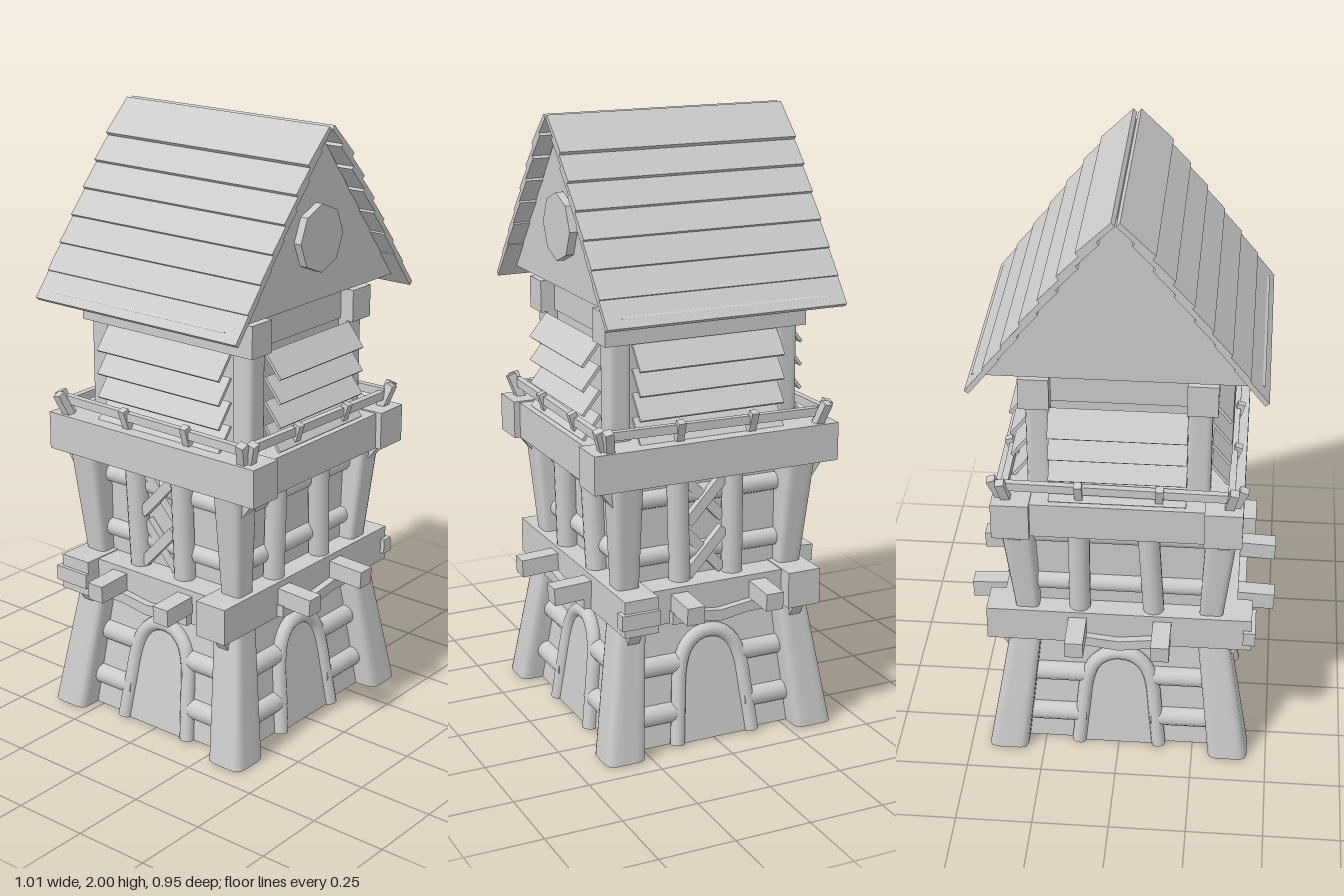
import * as THREE from 'three';

const material = new THREE.MeshStandardMaterial({ color: 0xcccccc, side: THREE.DoubleSide });
const flat = new THREE.MeshStandardMaterial({ color: 0xcccccc, flatShading: true, side: THREE.DoubleSide });
const V = (x, y, z) => new THREE.Vector3(x, y, z);

function add(parent, name, geometry, mat = material) {
  const mesh = new THREE.Mesh(geometry, mat);
  mesh.name = name;
  parent.add(mesh);
  return mesh;
}

function box(parent, name, w, h, d, x, y, z) {
  const mesh = add(parent, name, new THREE.BoxGeometry(w, h, d));
  mesh.position.set(x, y, z);
  return mesh;
}

// Round timber from a to b
function log(parent, name, a, b, radius) {
  const mesh = add(parent, name, new THREE.CylinderGeometry(radius, radius, a.distanceTo(b), 14));
  mesh.position.copy(a).lerp(b, 0.5);
  mesh.quaternion.setFromUnitVectors(V(0, 1, 0), b.clone().sub(a).normalize());
}

// Leaning post with a rounded-square section and level ends
function post(parent, name, a, b, ra, rb) {
  const g = new THREE.CylinderGeometry(1, 1, 1, 32);
  const p = g.attributes.position;
  for (let i = 0; i < p.count; i++) {
    const t = p.getY(i) + 0.5, r = ra + (rb - ra) * t;
    const x = p.getX(i), z = p.getZ(i);
    const k = r / Math.max((x ** 6 + z ** 6) ** (1 / 6), 0.001);
    p.setXYZ(i, a.x + (b.x - a.x) * t + x * k, a.y + (b.y - a.y) * t, a.z + (b.z - a.z) * t + z * k);
  }
  g.computeVertexNormals();
  add(parent, name, g);
}

// Square-cut timber from a to b
function bar(parent, name, a, b, w, d = w) {
  const mesh = add(parent, name, new THREE.BoxGeometry(w, a.distanceTo(b), d));
  mesh.position.copy(a).lerp(b, 0.5);
  mesh.quaternion.setFromUnitVectors(V(0, 1, 0), b.clone().sub(a).normalize());
}

// Four-sided tapered wall, open at top and bottom
function wall(parent, name, bx, bz, taper, y0, y1) {
  const g = new THREE.CylinderGeometry(Math.SQRT2 * taper, Math.SQRT2, y1 - y0, 4, 1, true);
  g.rotateY(Math.PI / 4);
  g.scale(bx, 1, bz);
  add(parent, name, g, flat).position.y = (y0 + y1) / 2;
}

// Arched door with a round frame, leaning with the wall
function door(face, d0, d1) {
  const lean = y => d0 + (d1 - d0) * y / 0.43;
  const half = [[-0.135, 0], [-0.122, 0.13], [-0.108, 0.25], [-0.085, 0.31], [-0.045, 0.345]];
  const outline = [...half, [0, 0.354], ...half.slice().reverse().map(([x, y]) => [-x, y])];
  const curve = new THREE.CatmullRomCurve3(outline.map(([x, y]) => V(x, y, lean(y) + 0.012)));
  add(face, 'doorFrame', new THREE.TubeGeometry(curve, 40, 0.024, 10));
  const shape = new THREE.Shape(curve.getPoints(30).map(p => new THREE.Vector2(p.x, p.y)));
  const slab = new THREE.ExtrudeGeometry(shape, { depth: 0.015, bevelEnabled: false });
  const p = slab.attributes.position;
  for (let i = 0; i < p.count; i++) p.setZ(i, p.getZ(i) + lean(p.getY(i)));
  slab.computeVertexNormals();
  add(face, 'door', slab, flat);
}

// Bent board hanging under the pegs
function bentBoard(face, z) {
  const s = new THREE.Shape();
  [[-0.17, 0.435], [-0.17, 0.475], [-0.11, 0.47], [0, 0.457], [0.11, 0.47], [0.17, 0.475],
    [0.17, 0.435], [0.1, 0.435], [0, 0.42], [-0.1, 0.435]]
    .forEach(([x, y], i) => (i ? s.lineTo(x, y) : s.moveTo(x, y)));
  add(face, 'bentBoard', new THREE.ExtrudeGeometry(s, { depth: 0.045, bevelEnabled: false })).position.z = z - 0.02;
}

// One of the four sides, built facing +z
function buildSide(isFront) {
  const face = new THREE.Group();
  face.name = isFront ? 'gableSide' : 'eaveSide';
  const low = isFront ? 0.33 : 0.36, mid = isFront ? 0.275 : 0.29;
  const span = isFront ? 0.29 : 0.28;

  door(face, low, mid);
  for (const y of [0.105, 0.263]) {
    const z = low + (mid - low) * y / 0.43;
    for (const s of [-1, 1])
      log(face, 'lowerLog', V(s * 0.11, y, z), V(s * (isFront ? 0.35 : 0.32), y, z), 0.034);
  }
  for (const y of [0.63, 0.82])
    log(face, 'upperLog', V(-span, y, mid), V(span, y, mid), 0.03);

  // Uprights and crossed braces of the middle storey
  const uprights = isFront ? [[-0.13, -0.13], [0.115, 0.09]] : [[-0.1, -0.115], [0.085, 0.08]];
  for (const [a, b] of uprights)
    log(face, 'upright', V(a, 0.5, mid + 0.025), V(b, 0.92, mid + 0.035), 0.035);
  if (!isFront) {
    for (const y of [0.56, 0.735])
      for (const s of [-1, 1])
        bar(face, 'crossBrace', V(-0.015 - s * 0.065, y, mid + 0.025 + s * 0.008),
          V(-0.015 + s * 0.065, y + 0.14, mid + 0.025 + s * 0.008), 0.034, 0.025);
    box(face, 'cornerPlank', 0.13, 0.05, 0.04, -0.295, 0.485, 0.428);
  }

  // Projecting pegs with a bent board beneath
  const tip = isFront ? 0.472 : 0.505;
  for (const x of [-0.135, 0.143])
    box(face, 'peg', 0.06, 0.058, 0.24, x, 0.5, tip - 0.12).rotation.x = 0.05;
  bentBoard(face, isFront ? 0.345 : 0.385);

  // Slanted wall slats of the top room
  const slatLength = isFront ? 0.43 : 0.5, out = isFront ? 0.325 : 0.285;
  for (let i = 0; i < 4; i++) {
    const y = 1.325 - i * 0.078;
    bar(face, 'wallSlat', V(0, y, out), V(0, y - 0.075, out + 0.06), slatLength, 0.01);
  }

  // Railing
  const edge = isFront ? 0.375 : 0.355, half = isFront ? 0.365 : 0.385;
  bar(face, 'railing', V(-half, 1.065, edge), V(half, 1.055, edge), 0.028, 0.022);
  for (const x of [-0.12, 0.13])
    bar(face, 'railPost', V(x, 1.01, edge - 0.01), V(x * 1.02, 1.085, edge + 0.015), 0.025);
  return face;
}

export function createModel() {
  const model = new THREE.Group();
  model.name = 'watchtower';

  wall(model, 'lowerWall', 0.36, 0.33, 0.82, 0, 0.45);
  wall(model, 'middleWall', 0.29, 0.275, 1, 0.45, 0.98);
  box(model, 'platformFloor', 0.62, 0.06, 0.7, 0, 0.955, 0);
  box(model, 'topRoom', 0.5, 0.42, 0.58, 0, 1.19, 0);

  for (let k = 0; k < 4; k++) {
    const side = buildSide(k % 2 === 0);
    side.rotation.y = k * Math.PI / 2;
    model.add(side);
  }

  // Corner posts, brackets and corner rail posts
  for (const sx of [-1, 1]) for (const sz of [-1, 1]) {
    const P = (x, y, z) => V(sx * x, y, sz * z);
    post(model, 'lowerPost', P(0.371, 0, 0.338), P(0.308, 0.46, 0.284), 0.066, 0.051);
    post(model, 'upperPost', P(0.298, 0.5, 0.286), P(0.333, 0.93, 0.303), 0.037, 0.053);
    post(model, 'topPost', P(0.25, 0.98, 0.29), P(0.25, 1.38, 0.29), 0.038, 0.038);
    bar(model, 'platformBracket', P(0.335, 0.83, 0.33), P(0.335, 0.92, 0.4), 0.04, 0.025);
    bar(model, 'beltBracket', P(0.34, 0.35, 0.29), P(0.405, 0.45, 0.29), 0.025, 0.04);
    bar(model, 'cornerRailPost', P(0.345, 1.0, 0.37), P(0.365, 1.09, 0.4), 0.028);
    bar(model, 'cornerRailPost', P(0.36, 1.0, 0.36), P(0.395, 1.09, 0.38), 0.028);
  }

  // Beam rings: belt, platform and top plate
  for (const s of [-1, 1]) {
    box(model, 'beltBeamLong', 0.87, 0.12, 0.115, 0, 0.49, s * 0.288);
    box(model, 'beltBeamShort', 0.12, 0.115, 0.5, s * 0.325, 0.49, 0);
    box(model, 'platformBeamLong', 0.12, 0.125, 0.85, s * 0.334, 0.957, 0);
    box(model, 'platformBeamShort', 0.56, 0.12, 0.12, 0, 0.955, s * 0.345);
    box(model, 'topBeamLong', 0.095, 0.105, 0.695, s * 0.258, 1.382, 0);
    box(model, 'topBeamShort', 0.43, 0.11, 0.09, 0, 1.39, s * 0.255);
  }

  // Gabled roof body with its corners just cutting through the eaves
  const gable = new THREE.Shape([[-0.443, 1.447], [0.443, 1.447], [0.41, 1.466], [0, 1.99], [-0.41, 1.466]]
    .map(p => new THREE.Vector2(...p)));
  add(model, 'roofBody', new THREE.ExtrudeGeometry(gable, { depth: 0.7, bevelEnabled: false })).position.z = -0.35;

  // Overlapping roof boards
  for (const s of [-1, 1])
    for (let i = 0; i < 7; i++) {
      const y = 1.893 - 0.0792 * i, top = Math.min(y + 0.12, 1.993);
      bar(model, 'roofBoard', V(s * ((2 - top) * 0.7636 + 0.002), top, 0),
        V(s * (0.111 + 0.0567 * i), y, 0), 0.016, 0.812);
    }

  // Eight-sided window on the front gable
  const pane = new THREE.CylinderGeometry(0.108, 0.108, 0.04, 8);
  pane.rotateX(Math.PI / 2);
  add(model, 'gableWindow', pane, flat).position.set(0, 1.65, 0.356);
  return model;
}
